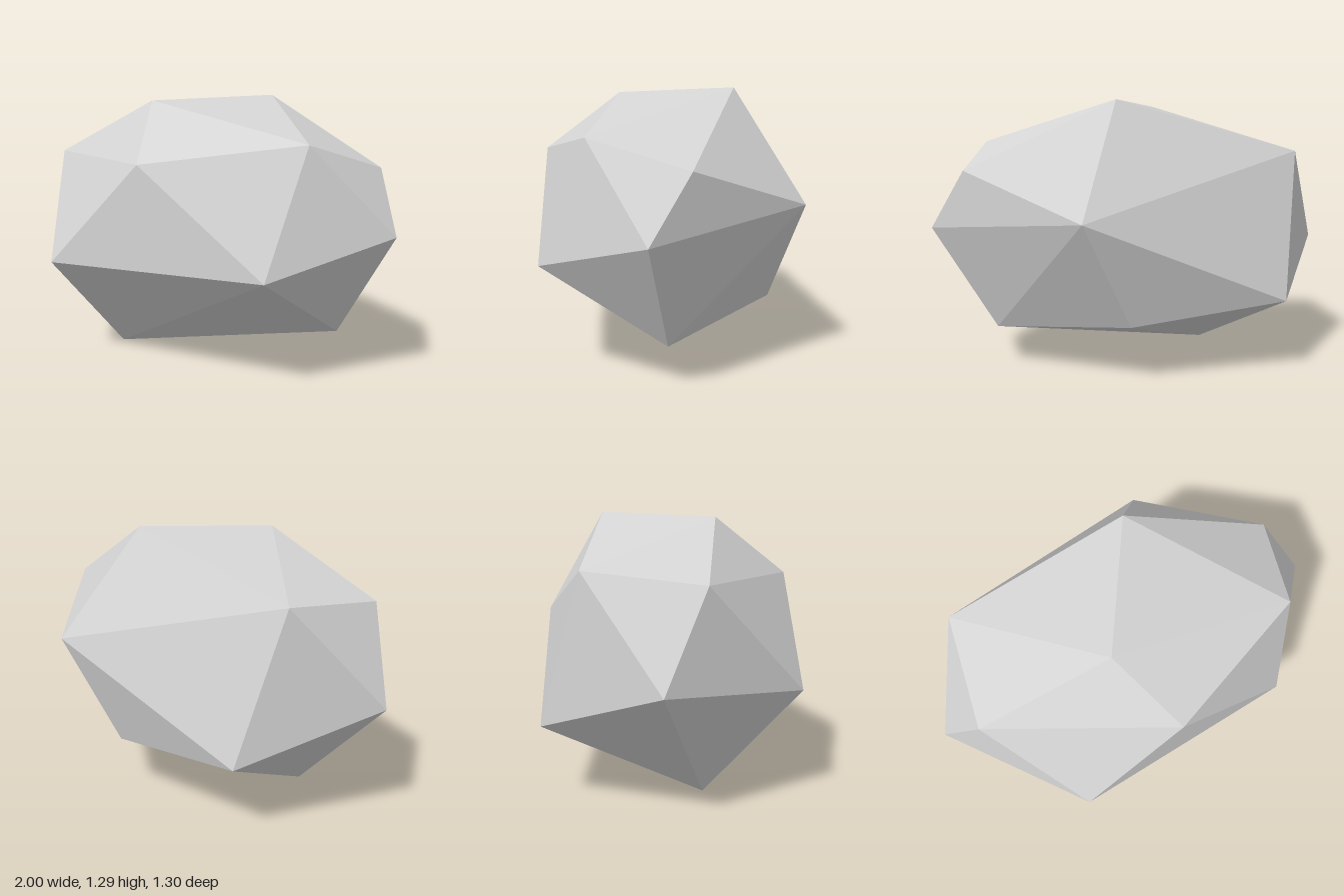
import * as THREE from 'three';
import { ConvexGeometry } from 'three/addons/geometries/ConvexGeometry.js';

// Corners of the boulder, listed in rough rings from the ground up
const corners = [
  // underside
  [-0.43, 0, 0.2], [0.7, 0.19, -0.03], [0.14, 0.27, -0.505],
  // waist
  [-0.61, 0.353, -0.52], [-1, 0.575, 0.04], [-0.49, 0.5, 0.648],
  [0.63, 0.525, 0.54], [1, 0.683, 0.035], [0.387, 0.765, -0.648],
  // shoulder
  [-0.73, 1.05, -0.32], [-0.81, 0.997, 0.215], [0.015, 0.993, 0.605],
  [0.71, 1.09, 0.315], [0.85, 0.967, -0.135],
  // crown
  [-0.17, 1.268, 0.255], [0.165, 1.293, -0.322],
];

export function createModel() {
  const group = new THREE.Group();
  group.name = 'rock';

  const stone = new THREE.MeshStandardMaterial({ color: 0xd4d4d4, flatShading: true });
  stone.name = 'pale grey stone';

  // Faceted boulder wrapped around the corners
  const points = corners.map((c) => new THREE.Vector3(...c));
  const boulder = new THREE.Mesh(new ConvexGeometry(points), stone);
  boulder.name = 'boulder';
  group.add(boulder);

  return group;
}
